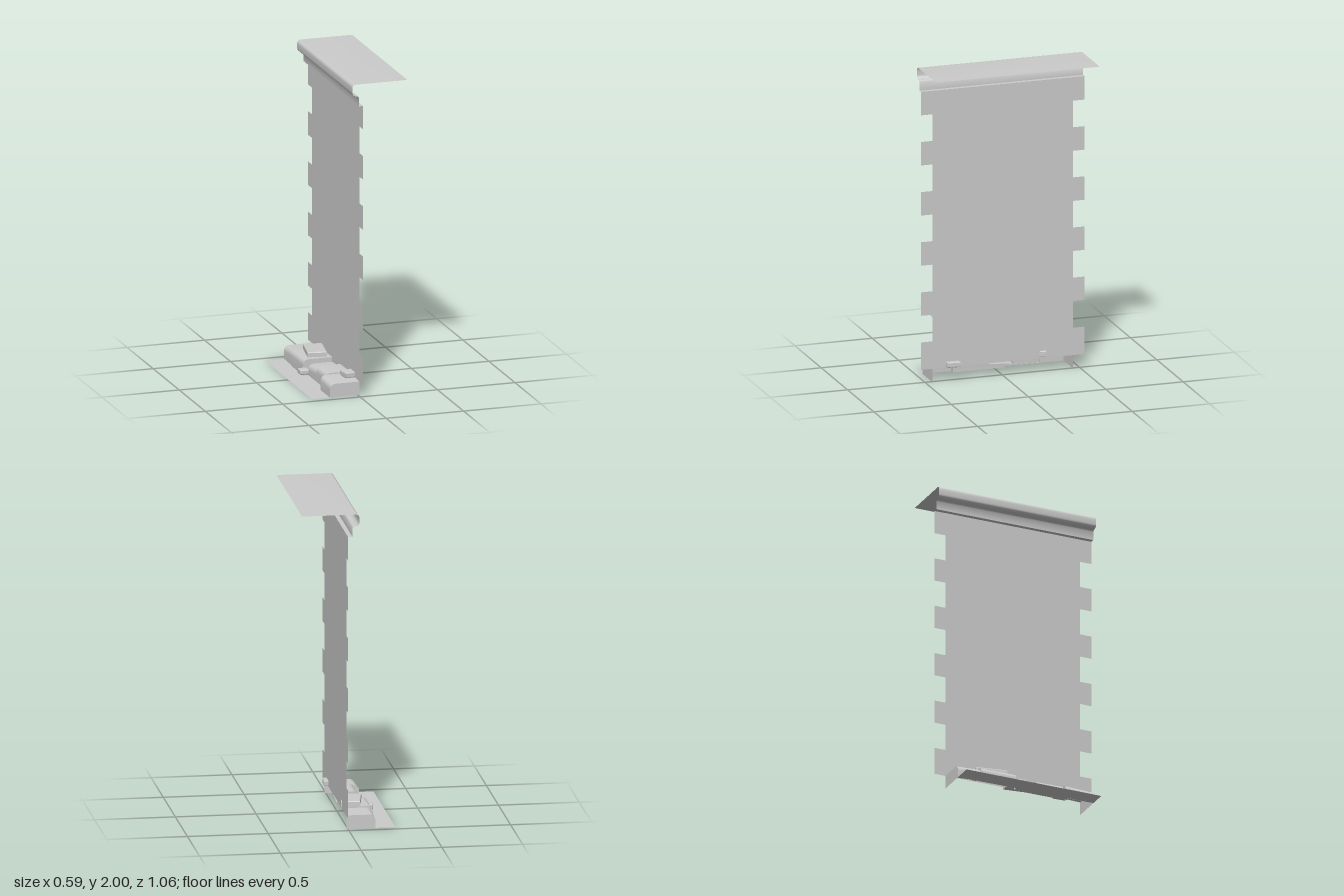
import * as THREE from 'three';
import { toCreasedNormals } from 'three/addons/utils/BufferGeometryUtils.js';
import { RoundedBoxGeometry } from 'three/addons/geometries/RoundedBoxGeometry.js';

const material = new THREE.MeshStandardMaterial({ color: 0xcccccc, side: THREE.DoubleSide });
const WALL_X = 0.01;

// Skin a row of open [x, y] sections, each placed at its own z
function loft(sections) {
  const n = sections[0].points.length;
  const positions = [];
  const index = [];
  for (const { z, points } of sections) for (const [x, y] of points) positions.push(x, y, z);
  for (let s = 0; s < sections.length - 1; s++) {
    for (let i = 0; i < n - 1; i++) {
      const a = s * n + i;
      index.push(a, a + n, a + 1, a + 1, a + n, a + n + 1);
    }
  }
  const geometry = new THREE.BufferGeometry();
  geometry.setAttribute('position', new THREE.Float32BufferAttribute(positions, 3));
  geometry.setIndex(index);
  return toCreasedNormals(geometry.toNonIndexed(), 0.7);
}

// Rounded stone outline: up the outer face, round the corner, back to the wall
function stoneSection(z, outer, height) {
  const points = [[outer, 0]];
  const r = 0.035;
  for (let i = 0; i <= 5; i++) {
    const a = (i / 5) * Math.PI / 2;
    points.push([outer + r - r * Math.cos(a), height - r + r * Math.sin(a)]);
  }
  points.push([WALL_X, height]);
  return { z, points };
}

// Flat stone from [x, z] corners, with a small bevel
function slab(corners, bottom, top) {
  const b = 0.006;
  const shape = new THREE.Shape(corners.map(([x, z]) => new THREE.Vector2(x, -z)));
  const geometry = new THREE.ExtrudeGeometry(shape, {
    depth: top - bottom - 2 * b, bevelThickness: b, bevelSize: b, bevelOffset: -b, bevelSegments: 2,
  });
  geometry.rotateX(-Math.PI / 2);
  geometry.translate(0, bottom + b, 0);
  return geometry;
}

export function createModel() {
  const model = new THREE.Group();
  const add = (name, geometry) => {
    const mesh = new THREE.Mesh(geometry, material);
    mesh.name = name;
    model.add(mesh);
    return mesh;
  };

  // Wall sheet with interlocking teeth down both edges
  const edge = [];
  for (let i = 0; i < 6; i++) {
    const low = i === 0 ? 0.085 : 0.11 + i * 0.32;
    const high = i === 5 ? 1.86 : 0.26 + i * 0.32;
    edge.push([0.455, low], [0.53, low], [0.53, high], [0.455, high]);
  }
  const outline = [...edge, ...edge.map(([z, y]) => [-z, y]).reverse()];
  const wall = new THREE.ShapeGeometry(new THREE.Shape(outline.map(([z, y]) => new THREE.Vector2(-z, y))));
  wall.rotateY(Math.PI / 2);
  wall.translate(WALL_X, 0, 0);
  add('wall', wall);

  // Cornice: stepped moulding, rounded lip and flat top
  const profile = new THREE.Path();
  profile.moveTo(WALL_X, 1.86);
  profile.lineTo(-0.018, 1.86);
  profile.lineTo(-0.018, 1.915);
  profile.quadraticCurveTo(-0.022, 1.925, -0.035, 1.925);
  profile.quadraticCurveTo(-0.06, 1.928, -0.06, 1.95);
  profile.lineTo(-0.06, 1.975);
  profile.quadraticCurveTo(-0.06, 2, -0.035, 2);
  profile.lineTo(0.295, 2);
  const cornice = profile.getPoints(5).map((p) => [p.x, p.y]);
  add('cornice', loft([{ z: 0.53, points: cornice }, { z: -0.53, points: cornice }]));

  // Ground strip, following the foot of the stones
  const ground = new THREE.ShapeGeometry(new THREE.Shape([
    [-0.295, -0.455], [-0.18, -0.455], [-0.18, -0.27], [-0.145, -0.27],
    [-0.145, 0.065], [-0.178, 0.065], [-0.17, 0.455], [-0.295, 0.455],
  ].map(([x, y]) => new THREE.Vector2(x, y))));
  ground.rotateX(-Math.PI / 2);
  add('ground', ground);

  // Row of stones, open underneath and against the wall; repeated z makes a step
  const stones = [
    [0.455, -0.178, 0.085], [0.27, -0.178, 0.092],
    [0.27, -0.145, 0.1], [0.09, -0.145, 0.098],
    [0.09, -0.145, 0.08], [-0.065, -0.145, 0.07],
    [-0.065, -0.178, 0.1], [-0.3, -0.178, 0.1],
    [-0.3, -0.17, 0.092], [-0.455, -0.17, 0.085],
  ].map((s) => stoneSection(...s));
  const closed = (s) => ({ z: s.z, points: s.points.map(() => [WALL_X, 0]) });
  add('stoneRow', loft([closed(stones[0]), ...stones, closed(stones[stones.length - 1])]));

  // Loose stones
  add('largeSlab', slab([[-0.1, -0.3], [-0.135, -0.105], [-0.017, -0.084], [0.018, -0.28]], 0.09, 0.132));
  add('smallSlab', slab([[-0.06, 0.29], [-0.05, 0.375], [0.035, 0.365], [0.04, 0.28]], 0.087, 0.122));
  add('pebble', new RoundedBoxGeometry(0.06, 0.032, 0.06, 2, 0.008)).position.set(-0.185, 0.036, -0.035);

  return model;
}
